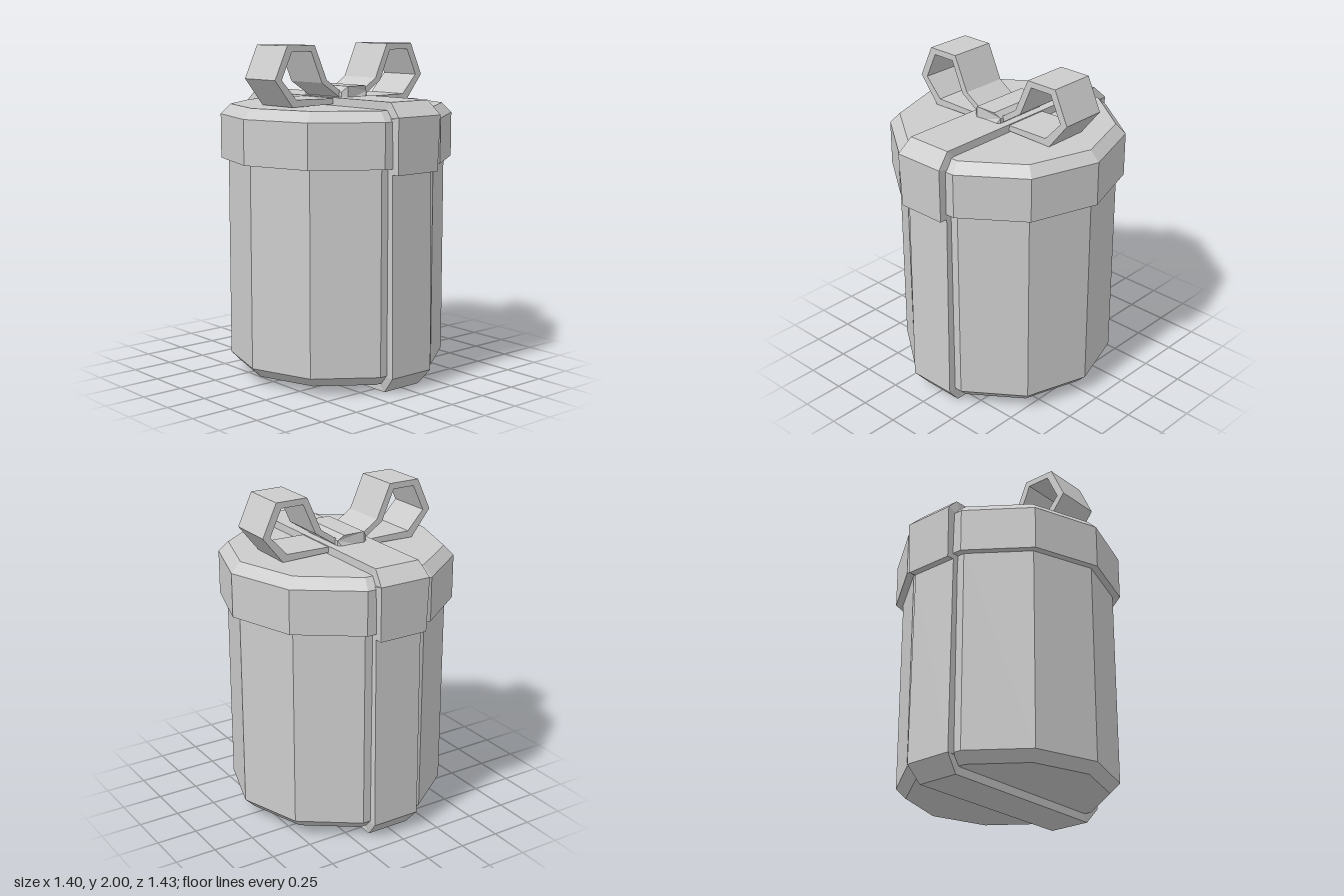
import * as THREE from 'three';

const material = new THREE.MeshStandardMaterial({ color: 0xcccccc, flatShading: true });

function add(parent, name, geometry) {
  const mesh = new THREE.Mesh(geometry, material);
  mesh.name = name;
  parent.add(mesh);
  return mesh;
}

const vectors = (points) => points.map(([x, y]) => new THREE.Vector2(x, y));

// Ten-sided solid with a corner on the x axis; profile runs bottom to top.
function decagon(profile) {
  return new THREE.LatheGeometry(vectors(profile), 10, Math.PI / 2);
}

function extrude(points, zMin, zMax) {
  const geometry = new THREE.ExtrudeGeometry(new THREE.Shape(vectors(points)), {
    depth: zMax - zMin, bevelEnabled: false,
  });
  return geometry.translate(0, 0, zMin);
}

// Closed band in the yz plane; each point is [z, y, half width].
function bandLoop(path) {
  const positions = [], index = [];
  for (const [z, y, w] of path) {
    const zi = z - Math.sign(z) * 0.1;
    const yi = THREE.MathUtils.clamp(y, 0.1, 1.59);
    positions.push(w, y, z, -w, y, z, -w, yi, zi, w, yi, zi);
  }
  for (let i = 0; i < path.length; i++) {
    const j = (i + 1) % path.length;
    for (let k = 0; k < 4; k++) {
      const n = (k + 1) % 4;
      const a = i * 4 + k, b = i * 4 + n, c = j * 4 + n, d = j * 4 + k;
      index.push(a, d, c, a, c, b);
    }
  }
  let geometry = new THREE.BufferGeometry();
  geometry.setAttribute('position', new THREE.Float32BufferAttribute(positions, 3));
  geometry.setIndex(index);
  geometry = geometry.toNonIndexed();
  geometry.computeVertexNormals();
  return geometry;
}

export function createModel() {
  const model = new THREE.Group();
  model.name = 'giftBox';

  // Box and overhanging lid
  add(model, 'boxBody', decagon([[0, 0.05], [0.595, 0.05], [0.655, 0.11], [0.655, 1.36], [0, 1.36]]));
  add(model, 'lid', decagon([[0, 1.32], [0.7, 1.32], [0.7, 1.585], [0.64, 1.645], [0, 1.645]]));

  // Ribbon wrapped round the front, top, back and bottom
  const half = [
    [0.585, 0, 0.135], [0.67, 0.1, 0.153], [0.658, 1.29, 0.153],
    [0.708, 1.285, 0.155], [0.717, 1.61, 0.163], [0.632, 1.692, 0.145],
  ];
  const back = half.map(([z, y, w]) => [-z, y, w]).reverse();
  add(model, 'ribbon', bandLoop([...half, ...back]));

  // Bow: one open loop on each side of the knot
  const bow = new THREE.Group();
  bow.name = 'bow';
  model.add(bow);
  const loop = [
    [0.05, 1.705], [0.093, 1.73], [0.193, 1.796], [0.284, 2], [0.485, 2],
    [0.575, 1.806], [0.448, 1.647], [0.05, 1.655], [0.05, 1.685], [0.42, 1.69],
    [0.527, 1.806], [0.453, 1.963], [0.31, 1.963], [0.23, 1.78], [0.093, 1.69],
  ];
  for (const [name, side] of [['leftBowLoop', 1], ['rightBowLoop', -1]]) {
    add(bow, name, extrude(loop.map(([x, y]) => [x * side, y]), -0.15, 0.135));
  }

  // Knot, a little shorter along its sloping sides
  const knot = extrude(
    [[-0.098, 1.675], [-0.07, 1.675], [0.07, 1.675], [0.098, 1.675],
      [0.098, 1.722], [0.068, 1.757], [-0.068, 1.757], [-0.098, 1.722]],
    -0.19, 0.19);
  const p = knot.attributes.position;
  for (let i = 0; i < p.count; i++) {
    const taper = Math.abs(p.getX(i)) > 0.08 ? 0.88 : 1;
    p.setZ(i, p.getZ(i) * taper - 0.01);
  }
  knot.computeVertexNormals();
  add(bow, 'knot', knot);

  return model;
}
